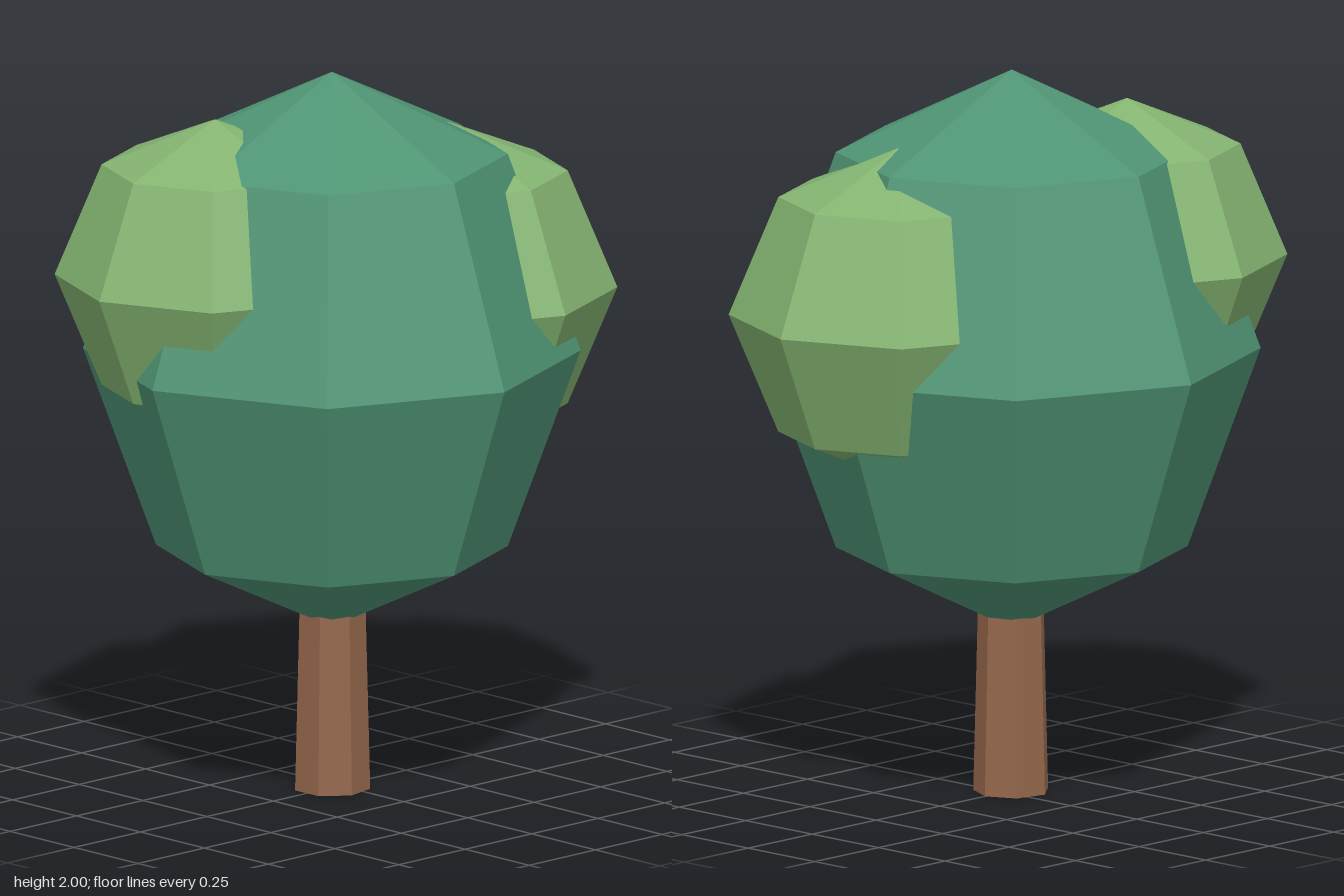
import * as THREE from 'three';

export function createModel() {
  const model = new THREE.Group();
  model.name = 'tree';

  const material = (name, color) => {
    const m = new THREE.MeshStandardMaterial({ color, flatShading: true });
    m.name = name;
    return m;
  };
  const bark = material('bark brown', 0x94674b);
  const darkLeaf = material('dark leaf green', 0x4f9474);
  const lightLeaf = material('light leaf green', 0x84b471);

  const add = (name, geometry, mat, x, y, z) => {
    const mesh = new THREE.Mesh(geometry, mat);
    mesh.name = name;
    mesh.position.set(x, y, z);
    model.add(mesh);
  };

  // Coarse eight-sided ball of leaves, stretched upright when ry differs from r
  const foliage = (r, ry = r) => new THREE.SphereGeometry(r, 8, 4).scale(1, ry / r, 1);

  // Seven-sided tapered trunk with one corner on +x, its top hidden in the crown
  add('trunk', new THREE.CylinderGeometry(0.09, 0.105, 0.6, 7, 1, false, Math.PI / 2), bark, -0.03, 0.3, 0);

  // Main crown and the two lighter clumps growing out of it
  add('crown', foliage(0.675, 0.775), darkLeaf, -0.03, 1.225, 0);
  add('leftClump', foliage(0.46), lightLeaf, 0.31, 1.36, 0.1);
  add('rightClump', foliage(0.435), lightLeaf, -0.335, 1.46, -0.14);

  return model;
}
